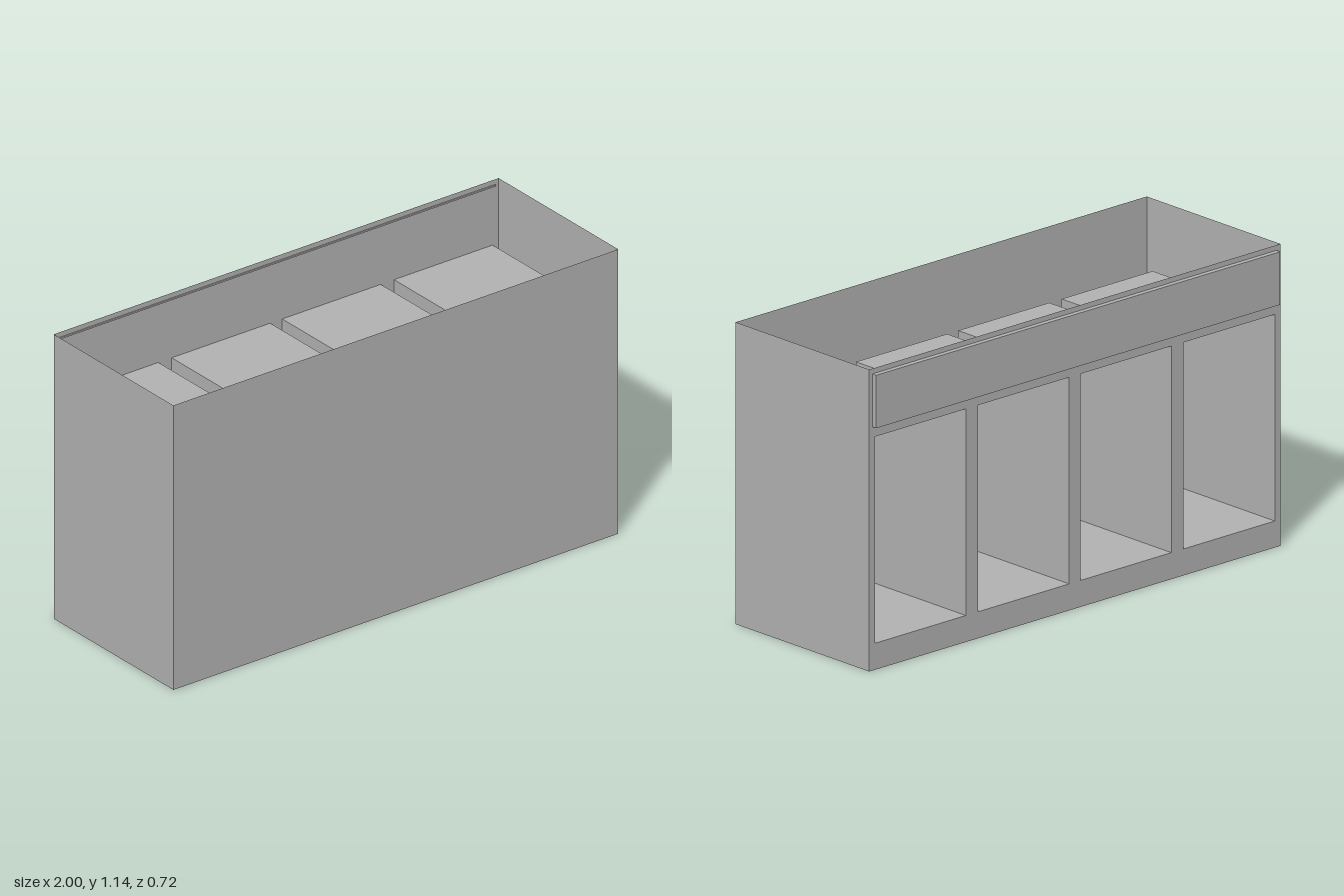
import * as THREE from 'three';

const W = 2, H = 1.14, FRONT = 0.36, BACK = -0.34;
const NICHE = { w: 0.443, bottom: 0.1, top: 0.88, front: 0.3 };
const NICHE_X = [-0.7515, -0.2485, 0.2485, 0.7515];

export function createModel() {
  const model = new THREE.Group();
  model.name = 'openCabinet';
  const grey = new THREE.MeshStandardMaterial({ color: 0xb2b2b2, side: THREE.DoubleSide });
  grey.name = 'grey';

  function add(parent, name, geometry, x = 0, y = 0, z = 0) {
    const mesh = new THREE.Mesh(geometry, grey);
    mesh.name = name;
    mesh.position.set(x, y, z);
    parent.add(mesh);
    return mesh;
  }

  // Thin sheets facing out along x, y or z
  const sheetX = (depth, h, dir) => new THREE.PlaneGeometry(depth, h).rotateY(dir * Math.PI / 2);
  const sheetY = (w, depth, dir) => new THREE.PlaneGeometry(w, depth).rotateX(-dir * Math.PI / 2);
  const sheetZ = (w, h) => new THREE.PlaneGeometry(w, h);

  // Outer shell, open at the top
  const depth = FRONT - BACK, midZ = (FRONT + BACK) / 2;
  add(model, 'frontWall', sheetZ(W, H), 0, H / 2, FRONT);
  add(model, 'floor', sheetY(W, depth, -1), 0, 0, midZ);
  for (const s of [-1, 1]) {
    add(model, s > 0 ? 'leftWall' : 'rightWall', sheetX(depth, H, s), s * W / 2, H / 2, midZ);
  }

  // Back wall with four openings
  const wall = new THREE.Shape([[-1, 0], [1, 0], [1, H], [-1, H]].map(p => new THREE.Vector2(...p)));
  for (const x of NICHE_X) {
    const a = x - NICHE.w / 2, b = x + NICHE.w / 2;
    wall.holes.push(new THREE.Path(
      [[a, NICHE.bottom], [a, NICHE.top], [b, NICHE.top], [b, NICHE.bottom]].map(p => new THREE.Vector2(...p))));
  }
  // Mirrored by a half turn so that it faces the back
  add(model, 'backWall', new THREE.ShapeGeometry(wall).rotateY(Math.PI), 0, 0, BACK);

  // Compartments reaching in from the openings
  const nh = NICHE.top - NICHE.bottom, nd = NICHE.front - BACK;
  const ny = (NICHE.top + NICHE.bottom) / 2, nz = (NICHE.front + BACK) / 2;
  NICHE_X.forEach((x, i) => {
    const niche = new THREE.Group();
    niche.name = `compartment${i + 1}`;
    niche.position.set(x, ny, nz);
    model.add(niche);
    add(niche, 'compartmentEnd', sheetZ(NICHE.w, nh), 0, 0, nd / 2);
    for (const s of [-1, 1]) {
      add(niche, 'compartmentSide', sheetX(nd, nh, s), s * NICHE.w / 2, 0, 0);
      add(niche, s > 0 ? 'compartmentTop' : 'compartmentFloor', sheetY(NICHE.w, nd, s), 0, s * nh / 2, 0);
    }
  });

  // Raised rail across the back, with a slim lip inside
  add(model, 'backRail', new THREE.BoxGeometry(1.965, 0.2, 0.02), 0.002, 1.02, BACK - 0.01);
  add(model, 'innerLip', new THREE.BoxGeometry(1.965, 0.006, 0.005), 0.002, 1.117, BACK + 0.0025);

  return model;
}
